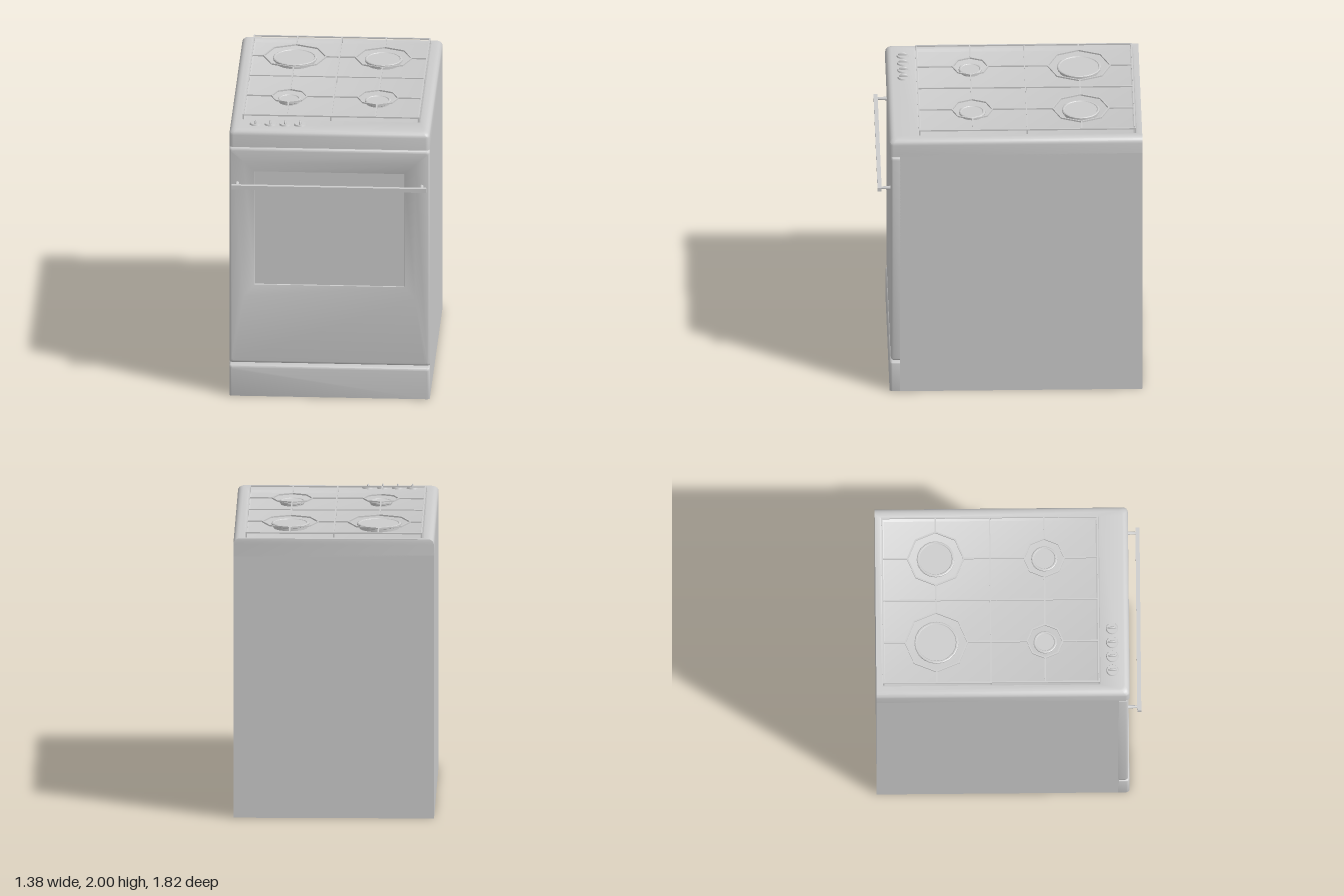
import * as THREE from 'three';
import { toCreasedNormals } from 'three/addons/utils/BufferGeometryUtils.js';

const material = new THREE.MeshStandardMaterial({ color: 0xcccccc, side: THREE.DoubleSide });

function add(parent, name, geometry, x = 0, y = 0, z = 0) {
  const mesh = new THREE.Mesh(geometry, material);
  mesh.name = name;
  mesh.position.set(x, y, z);
  parent.add(mesh);
  return mesh;
}

// Counter-clockwise rectangle with rounded lower (rLow) and upper (rHigh) corners
function rectRing(x0, x1, y0, y1, z, rLow = 0.001, rHigh = rLow) {
  const ring = [];
  const corners = [[x1, y0, -1, 1, rLow, 3], [x1, y1, -1, -1, rHigh, 0], [x0, y1, 1, -1, rHigh, 1], [x0, y0, 1, 1, rLow, 2]];
  for (const [x, y, sx, sy, r, quarter] of corners) {
    for (let i = 0; i <= 4; i++) {
      const a = (quarter + i / 4) * Math.PI / 2;
      ring.push([x + sx * r + r * Math.cos(a), y + sy * r + r * Math.sin(a), z]);
    }
  }
  return ring;
}

// Skin a list of equal rings and close both ends
function loft(rings) {
  const n = rings[0].length, last = (rings.length - 1) * n, index = [];
  for (let k = 0; k < rings.length - 1; k++) {
    for (let j = 0; j < n; j++) {
      const a = k * n + j, b = k * n + (j + 1) % n;
      index.push(a, b, b + n, a, b + n, a + n);
    }
  }
  for (let j = 1; j < n - 1; j++) index.push(0, j + 1, j, last, last + j, last + j + 1);
  const geometry = new THREE.BufferGeometry();
  geometry.setAttribute('position', new THREE.Float32BufferAttribute(rings.flat(2), 3));
  geometry.setIndex(index);
  return toCreasedNormals(geometry, 0.5);
}

// Quarter-round edge as [inset, drop] pairs
function roundSteps(r) {
  return Array.from({ length: 6 }, (_, i) => {
    const a = i / 5 * Math.PI / 2;
    return [r * (1 - Math.cos(a)), r * (1 - Math.sin(a))];
  });
}

// Straight square bar between two points
function bar(parent, name, from, to, size = 0.01) {
  const a = new THREE.Vector3(...from), b = new THREE.Vector3(...to);
  const mesh = add(parent, name, new THREE.BoxGeometry(size, size, a.distanceTo(b) + size * 0.5));
  mesh.position.copy(a).add(b).multiplyScalar(0.5);
  mesh.lookAt(b);
}

function buildHousing(stove) {
  add(stove, 'body', new THREE.BoxGeometry(1.38, 1.85, 1.665), 0, 0.925, -0.0775);

  // Worktop with rounded sides and front, and a shallow hob tray
  const top = [rectRing(-0.69, 0.69, -0.83, 0.91, 1.838, 0.03, 0.001)];
  for (const [t, d] of roundSteps(0.04)) {
    top.push(rectRing(-0.69 + t, 0.69 - t, -0.83 + t, 0.91, 1.965 - d, 0.03, 0.001));
  }
  top.push(rectRing(-0.615, 0.615, -0.63, 0.872, 1.965));
  top.push(rectRing(-0.592, 0.592, -0.607, 0.849, 1.952));
  add(stove, 'worktop', loft(top).rotateX(-Math.PI / 2));

  // Oven door with a sloping recess and a sunken window
  const door = [rectRing(-0.69, 0.69, 0.24, 1.826, 0.75, 0.015)];
  for (const [t, d] of roundSteps(0.02)) {
    door.push(rectRing(-0.69 + t, 0.69 - t, 0.24 + t, 1.826 - t, 0.82 - d, 0.015));
  }
  door.push(rectRing(-0.59, 0.59, 0.735, 1.725, 0.82));
  door.push(rectRing(-0.517, 0.517, 0.813, 1.648, 0.797));
  door.push(rectRing(-0.515, 0.515, 0.815, 1.646, 0.788));
  add(stove, 'ovenDoor', loft(door));

  // Lower drawer, square at the floor
  const drawer = [rectRing(-0.69, 0.69, 0, 0.226, 0.75, 0.001, 0.012)];
  for (const [t, d] of roundSteps(0.02)) {
    drawer.push(rectRing(-0.69 + t, 0.69 - t, 0, 0.226 - t, 0.828 - d, 0.001, 0.012));
  }
  add(stove, 'drawer', loft(drawer));
}

function buildHandle(stove) {
  const handle = new THREE.Group();
  handle.name = 'doorHandle';
  stove.add(handle);
  add(handle, 'handleBar', new THREE.BoxGeometry(1.34, 0.028, 0.028), 0, 1.57, 0.896);
  for (const side of [-1, 1]) {
    const bracket = new THREE.CylinderGeometry(0.008, 0.014, 0.075, 12).rotateX(Math.PI / 2);
    add(handle, 'handleBracket', bracket, side * 0.635, 1.568, 0.852);
  }
}

// x, z, burner radius, pan ring radius
const burners = [
  [-0.305, -0.495, 0.152, 0.215],
  [0.305, -0.495, 0.13, 0.193],
  [-0.305, 0.252, 0.08, 0.122],
  [0.305, 0.252, 0.09, 0.139],
];

function buildHob(stove) {
  const hob = new THREE.Group();
  hob.name = 'hob';
  stove.add(hob);
  const y = 1.995, w = 0.603, back = -0.861, front = 0.62, mid = -0.121;

  // Grate frame, cross bars and feet
  for (const x of [-w, 0, w]) {
    bar(hob, 'grateBar', [x, y, back], [x, y, front]);
    for (const z of [back, mid, front]) bar(hob, 'grateFoot', [x, 1.95, z], [x, y, z]);
  }
  for (const z of [back, front]) bar(hob, 'grateBar', [-w, y, z], [w, y, z]);
  bar(hob, 'grateBar', [-w, y, mid], [w, y, mid], 0.007);

  for (const [x, z, r, ring] of burners) {
    // Burner crown and cap
    const big = r > 0.1, h = big ? 0.99 : 0.98;
    const profile = [
      [r * 0.9, 1.945], [r * 0.9, 1 + h - 0.02], [r, 1 + h - 0.015], [r, 1 + h - 0.004],
      [r - 0.006, 1 + h], [r - 0.014, 1 + h], [r - 0.018, 1 + h - 0.004], [0, 1 + h - 0.004],
    ].map(p => new THREE.Vector2(...p));
    add(hob, 'burner', toCreasedNormals(new THREE.LatheGeometry(profile, 20), 0.5), x, 0, z);

    // Octagonal pan support
    const point = i => [x + ring * Math.cos(i * Math.PI / 4), y, z + ring * Math.sin(i * Math.PI / 4)];
    for (let i = 0; i < 8; i++) bar(hob, 'panSupport', point(i), point(i + 1));

    // Arms joining the support to the frame and cross bars
    const sx = Math.sign(x), outerZ = z < 0 ? back : front, sz = z < 0 ? -1 : 1;
    bar(hob, 'grateArm', [x + sx * ring, y, z], [sx * w, y, z]);
    bar(hob, 'grateArm', [x - sx * ring, y, z], [0, y, z]);
    bar(hob, 'grateArm', [x, y, z + sz * ring], [x, y, outerZ]);
    bar(hob, 'grateArm', [x, y, z - sz * ring], [x, y, mid]);
  }
}

function buildKnobs(stove) {
  for (let i = 0; i < 4; i++) {
    const knob = new THREE.Group();
    knob.name = 'knob';
    knob.position.set(-0.513 + i * 0.102, 1.965, 0.713);
    stove.add(knob);
    add(knob, 'knobDisc', new THREE.CylinderGeometry(0.038, 0.042, 0.01, 24), 0, 0.005, 0);
    const grip = add(knob, 'knobGrip', new THREE.SphereGeometry(1, 16, 10), 0, 0.01, 0);
    grip.scale.set(0.008, 0.02, 0.032);
  }
}

export function createModel() {
  const stove = new THREE.Group();
  stove.name = 'stove';
  buildHousing(stove);
  buildHandle(stove);
  buildHob(stove);
  buildKnobs(stove);
  return stove;
}
